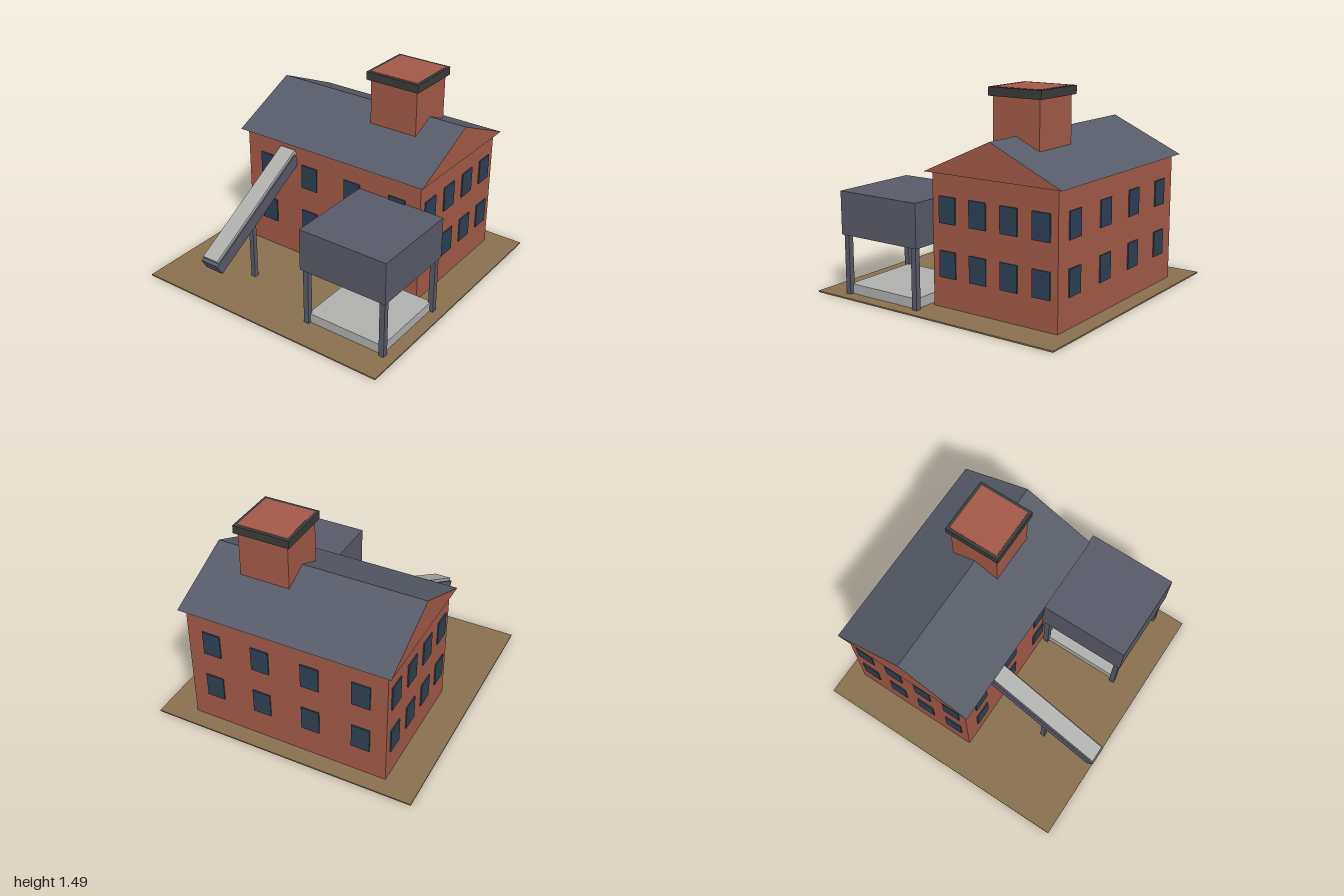
import * as THREE from 'three';

const mat = (name, color) => {
  const m = new THREE.MeshStandardMaterial({ color });
  m.name = name;
  return m;
};

export function createModel() {
  const model = new THREE.Group();
  model.name = 'brickMill';

  const brick = mat('brick', 0xa35a47);
  const slate = mat('roofSlate', 0x575c68);
  const steel = mat('steel', 0x5a5b69);
  const glass = mat('windowGlass', 0x2d4154);
  const capStone = mat('chimneyCap', 0x3b3c3a);
  const concrete = mat('concrete', 0xb0b0af);
  const earth = mat('earth', 0x89714e);

  // Box given by its lower and upper corners
  const block = (name, material, [x0, y0, z0], [x1, y1, z1], parent = model) => {
    const mesh = new THREE.Mesh(new THREE.BoxGeometry(x1 - x0, y1 - y0, z1 - z0), material);
    mesh.position.set((x0 + x1) / 2, (y0 + y1) / 2, (z0 + z1) / 2);
    mesh.name = name;
    parent.add(mesh);
    return mesh;
  };

  block('ground', earth, [-0.98, 0, -0.987], [1, 0.01, 0.987]);

  // Main building
  const cx = 0.38, halfW = 0.495, halfD = 0.747;
  block('walls', brick, [cx - halfW, 0.005, -halfD], [cx + halfW, 0.93, halfD]);

  // Gable roof: brick ends, slate slopes and underside
  const gable = new THREE.Shape([
    new THREE.Vector2(cx - 0.54, 0.93),
    new THREE.Vector2(cx + 0.54, 0.93),
    new THREE.Vector2(cx, 1.175),
  ]);
  const roofGeometry = new THREE.ExtrudeGeometry(gable, { depth: 1.566, bevelEnabled: false });
  roofGeometry.translate(0, 0, -0.783);
  const roof = new THREE.Mesh(roofGeometry, [brick, slate]);
  roof.name = 'roof';
  model.add(roof);

  // Chimney, with the flue top just proud of the cap
  block('chimney', brick, [0.197, 1.0, 0.123], [0.565, 1.486, 0.497]);
  block('chimneyCap', capStone, [0.173, 1.425, 0.1], [0.589, 1.484, 0.518]);

  // Two rows of four windows on every wall
  const windows = new THREE.Group();
  windows.name = 'windows';
  model.add(windows);
  const t = 0.009, w = 0.0675;
  for (const y of [0.22, 0.59]) {
    for (const k of [-1.5, -0.5, 0.5, 1.5]) {
      const x = cx + k * 0.2475, z = k * 0.3735;
      for (const s of [-1, 1]) {
        const wz = s * (halfD + t / 2), wx = cx + s * (halfW + t / 2);
        block('endWindow', glass, [x - w, y, wz - t / 2], [x + w, y + 0.184, wz + t / 2], windows);
        block('sideWindow', glass, [wx - t / 2, y, z - w], [wx + t / 2, y + 0.184, z + w], windows);
      }
    }
  }

  // Raised bin on four posts above a loading slab
  block('raisedBin', steel, [-0.79, 0.437, 0.249], [-0.115, 0.745, 0.925]);
  for (const x of [-0.756, -0.149]) {
    for (const z of [0.284, 0.894]) {
      block('binPost', steel, [x - 0.02, 0.005, z - 0.02], [x + 0.02, 0.44, z + 0.02]);
    }
  }
  block('loadingSlab', concrete, [-0.753, 0.005, 0.287], [-0.152, 0.08, 0.888]);

  // Sloping conveyor with its belt and support
  const conveyor = new THREE.Group();
  conveyor.name = 'conveyor';
  model.add(conveyor);
  const ramp = (name, material, y, thickness, width) => {
    const mesh = new THREE.Mesh(new THREE.BoxGeometry(0.995, thickness, width), material);
    mesh.position.set(-0.545, y, -0.372);
    mesh.rotation.z = Math.PI / 6;
    mesh.name = name;
    conveyor.add(mesh);
  };
  ramp('conveyorFrame', steel, 0.56, 0.092, 0.146);
  ramp('conveyorBelt', concrete, 0.61, 0.05, 0.126);
  block('conveyorSupport', steel, [-0.561, 0.005, -0.39], [-0.526, 0.55, -0.354], conveyor);

  return model;
}
